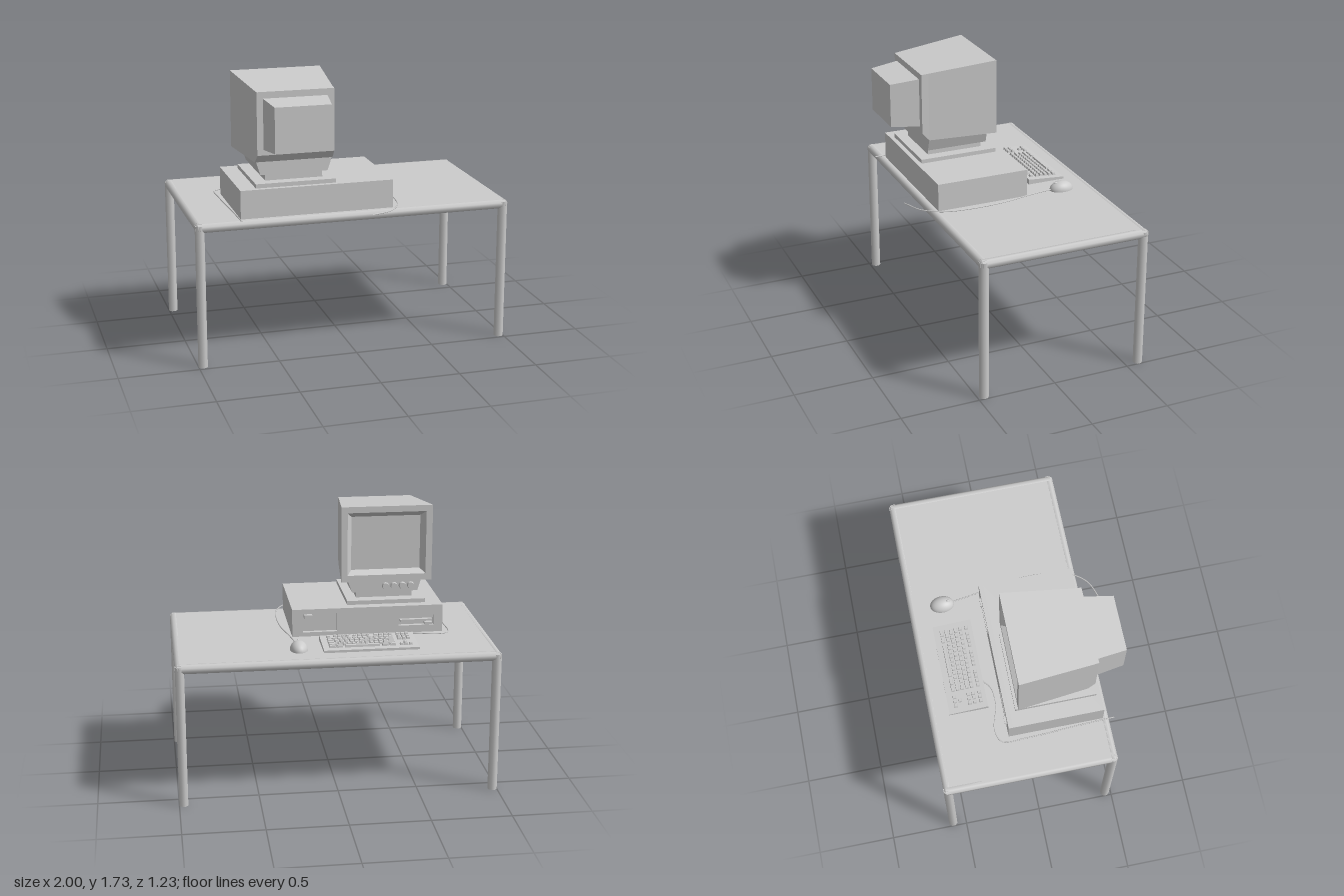
import * as THREE from 'three';

const mat = new THREE.MeshStandardMaterial({ color: 0xcccccc, side: THREE.DoubleSide });
const TOP = 0.915; // table surface height

function add(parent, name, geo, x = 0, y = 0, z = 0) {
  const m = new THREE.Mesh(geo, mat);
  m.name = name;
  m.position.set(x, y, z);
  parent.add(m);
  return m;
}
function group(parent, name) {
  const g = new THREE.Group();
  g.name = name;
  parent.add(g);
  return g;
}
// Box given by its limits
function block(parent, name, x0, x1, y0, y1, z0, z1) {
  return add(parent, name, new THREE.BoxGeometry(x1 - x0, y1 - y0, z1 - z0),
    (x0 + x1) / 2, (y0 + y1) / 2, (z0 + z1) / 2);
}

// Rectangular cross-sections across z and across y
const ringZ = (z, x0, x1, y0, y1) => [[x0, y0, z], [x1, y0, z], [x1, y1, z], [x0, y1, z]];
const ringY = (y, x0, x1, z0, z1) => [[x0, y, z1], [x1, y, z1], [x1, y, z0], [x0, y, z0]];

// Capped, hard-edged skin through four-cornered sections
function loft(rings) {
  const p = [];
  const quad = (a, b, c, d) => p.push(...a, ...b, ...c, ...a, ...c, ...d);
  for (let k = 0; k + 1 < rings.length; k++) {
    const a = rings[k], b = rings[k + 1];
    for (let i = 0; i < 4; i++) quad(a[i], a[(i + 1) % 4], b[(i + 1) % 4], b[i]);
  }
  const s = rings[0], e = rings[rings.length - 1];
  quad(s[3], s[2], s[1], s[0]);
  quad(e[0], e[1], e[2], e[3]);
  const g = new THREE.BufferGeometry();
  g.setAttribute('position', new THREE.Float32BufferAttribute(p, 3));
  g.computeVertexNormals();
  return g;
}

function buildTable(root) {
  const t = group(root, 'table');
  const r = 0.0275, x = 1 - r, z0 = -0.615 + r, z1 = 0.487 - r, y = TOP - r;
  // Eight-sided tube with flats facing the axes
  const tube = (len) => new THREE.CylinderGeometry(r / Math.cos(Math.PI / 8), r / Math.cos(Math.PI / 8), len, 8)
    .rotateY(Math.PI / 8);
  for (const sx of [-x, x]) {
    for (const z of [z0, z1]) add(t, 'leg', tube(TOP - 0.012), sx, (TOP - 0.012) / 2, z);
    add(t, 'sideRail', tube(z1 - z0 + r).rotateX(Math.PI / 2), sx, y, (z0 + z1) / 2);
  }
  for (const z of [z0, z1]) add(t, 'longRail', tube(2 * x + r).rotateZ(Math.PI / 2), 0, y, z);
  block(t, 'tableTop', -x, x, TOP - 0.04, TOP, z0, z1);
}

function buildComputer(root) {
  const c = group(root, 'computerCase');
  const x0 = -0.717, x1 = 0.246, y0 = TOP + 0.003, y1 = 1.096;
  block(c, 'caseBody', x0, x1, y0, y1, -0.125, 0.45);
  // Front plate with a drive bay and a disk slot cut out
  const rect = (S, a, b, d, e) => {
    const s = new S();
    s.moveTo(a, d); s.lineTo(b, d); s.lineTo(b, e); s.lineTo(a, e); s.closePath();
    return s;
  };
  const plate = rect(THREE.Shape, x0, x1, y0, y1);
  plate.holes.push(rect(THREE.Path, -0.04, 0.178, 0.945, 1.065), rect(THREE.Path, -0.66, -0.435, 0.965, 1.03));
  add(c, 'frontPlate', new THREE.ExtrudeGeometry(plate, { depth: 0.027, bevelEnabled: false }), 0, 0, -0.152);
  block(c, 'driveLatch', 0.12, 0.17, 1.035, 1.06, -0.163, -0.125);
  block(c, 'driveSlotBar', -0.65, -0.445, 0.99, 1.003, -0.15, -0.125);
  block(c, 'ejectButton', -0.65, -0.6, 0.97, 0.986, -0.163, -0.125);
}

function buildMonitor(root) {
  const m = group(root, 'monitor');
  block(m, 'standPlate', -0.615, -0.112, 1.096, 1.122, -0.09, 0.42);
  block(m, 'standNeck', -0.54, -0.18, 1.12, 1.165, -0.015, 0.35);
  add(m, 'swivelFoot', loft([
    ringY(1.162, -0.573, -0.15, -0.037, 0.362),
    ringY(1.25, -0.6, -0.12, -0.037, 0.362),
  ]));
  // Recessed screen, bezel, tapering housing and chamfered lower back
  add(m, 'housing', loft([
    ringZ(-0.03, -0.585, -0.145, 1.31, 1.655),
    ringZ(-0.08, -0.615, -0.115, 1.285, 1.69),
    ringZ(-0.08, -0.655, -0.075, 1.243, 1.729),
    ringZ(0.362, -0.606, -0.118, 1.243, 1.687),
    ringZ(0.408, -0.6, -0.12, 1.294, 1.683),
  ]));
  add(m, 'tubeCover', loft([
    ringZ(0.4, -0.562, -0.162, 1.328, 1.643),
    ringZ(0.592, -0.535, -0.187, 1.344, 1.624),
  ]));
  for (let i = 0; i < 4; i++) {
    add(m, 'knob', new THREE.CylinderGeometry(0.02, 0.024, 0.025, 12).rotateX(-Math.PI / 2),
      -0.366 - i * 0.054, 1.2, -0.044);
  }
}

function buildKeyboard(root) {
  const k = group(root, 'keyboard');
  const zf = -0.487, zb = -0.24;
  const surface = (z) => THREE.MathUtils.mapLinear(z, zf, zb, 0.932, 0.95);
  add(k, 'keyboardBase', loft([
    ringZ(zf, -0.508, 0.086, TOP + 0.002, surface(zf)),
    ringZ(zb, -0.508, 0.086, TOP + 0.002, surface(zb)),
  ]));
  const key = (x0, x1, z) => {
    const w = x1 - x0 - 0.006, h = 0.014, d = 0.022;
    const m = add(k, 'key', loft([
      ringY(0, -w / 2, w / 2, -d / 2, d / 2),
      ringY(h, -w / 2 + 0.003, w / 2 - 0.003, -d / 2 + 0.003, d / 2 - 0.003),
    ]), (x0 + x1) / 2, surface(z), z);
    m.rotation.x = -0.07;
  };
  const run = (x0, x1, n, z) => {
    const p = (x1 - x0) / n;
    for (let i = 0; i < n; i++) key(x0 + i * p, x0 + (i + 1) * p, z);
  };
  const rows = [-0.437, -0.407, -0.377, -0.347, -0.317, -0.277];
  // Main block: space row, four staggered rows, function row
  key(-0.27, -0.05, rows[0]);
  run(-0.37, -0.28, 2, rows[0]);
  run(-0.04, 0.05, 2, rows[0]);
  [[-0.29, -0.01], [-0.325, 0.005], [-0.31, 0.01], [-0.335, 0.02]].forEach(([a, b], i) => {
    key(-0.37, a, rows[i + 1]);
    run(a, b, 10 + (i % 2), rows[i + 1]);
    key(b, 0.05, rows[i + 1]);
  });
  [[-0.37, -0.25], [-0.228, -0.118], [-0.1, 0.005]].forEach(([a, b]) => run(a, b, 4, rows[5]));
  key(0.018, 0.05, rows[5]);
  // Arrow and navigation clusters
  for (const r of [0, 3, 4, 5]) run(-0.475, -0.39, 3, rows[r]);
  key(-0.447, -0.418, rows[1]);
}

function buildMouse(root) {
  const m = group(root, 'mouse');
  const shell = new THREE.SphereGeometry(1, 24, 10, 0, Math.PI * 2, 0, Math.PI / 2).scale(0.055, 0.056, 0.078);
  add(m, 'mouseShell', shell, 0.232, TOP + 0.002, -0.398);
  add(m, 'mouseButton', new THREE.SphereGeometry(1, 12, 8).scale(0.008, 0.006, 0.013), 0.232, 0.966, -0.36);
}

function cable(root, name, points) {
  const path = new THREE.CatmullRomCurve3(points.map(([x, z]) => new THREE.Vector3(x, 0.928, z)));
  add(root, name, new THREE.TubeGeometry(path, 64, 0.004, 6));
}

export function createModel() {
  const root = new THREE.Group();
  root.name = 'computerDesk';
  buildTable(root);
  buildComputer(root);
  buildMonitor(root);
  buildKeyboard(root);
  buildMouse(root);
  cable(root, 'mouseCable', [[0.235, -0.33], [0.262, -0.16], [0.3, 0.03], [0.31, 0.24],
    [0.283, 0.43], [0.2, 0.55], [0.067, 0.607]]);
  cable(root, 'keyboardCable', [[-0.327, -0.245], [-0.385, -0.2], [-0.5, -0.19], [-0.66, -0.23],
    [-0.743, -0.2], [-0.75, -0.03], [-0.735, 0.29], [-0.727, 0.52]]);
  return root;
}
